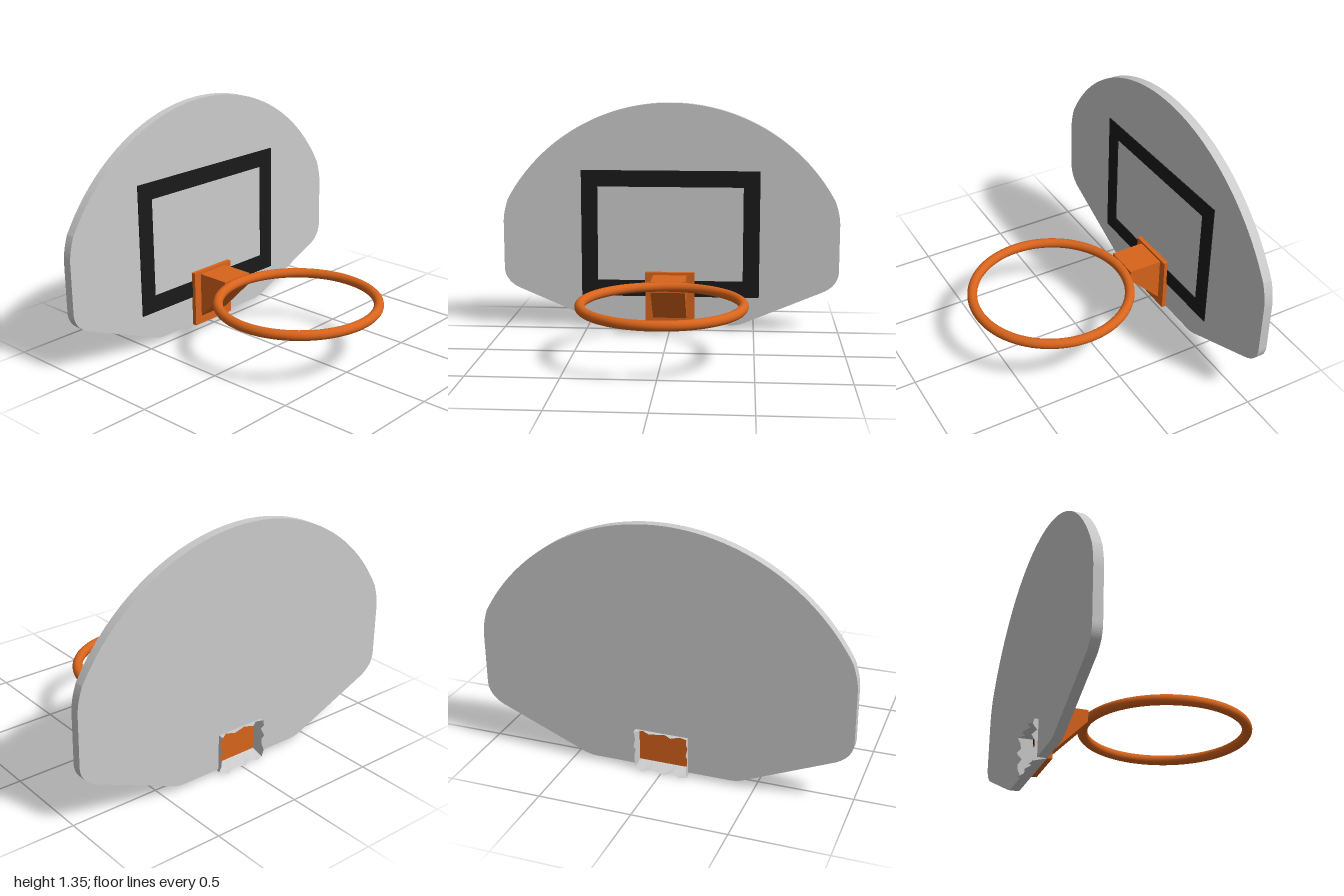
import * as THREE from 'three';
import { toCreasedNormals } from 'three/addons/utils/BufferGeometryUtils.js';

const material = (color, extra = {}) => new THREE.MeshStandardMaterial({ color, ...extra });

// Outline traced on the right half, then mirrored to the left
function boardShape(notchX, notchTop) {
  const base = 0.033;
  const half = new THREE.Path();
  half.moveTo(notchX, notchTop);
  half.lineTo(notchX, base);
  half.lineTo(0.37, base);
  half.quadraticCurveTo(0.415, base, 0.46, 0.055);
  half.lineTo(0.9, 0.241);
  half.bezierCurveTo(0.96, 0.265, 1, 0.31, 1, 0.37);
  half.lineTo(1, 0.64);
  half.quadraticCurveTo(1, 0.71, 0.97, 0.79);
  const start = Math.atan2(0.54, 0.97);
  half.absarc(0, 0.25, 1.11, start, Math.PI / 2, false);
  const right = half.getPoints(28);
  const left = right.slice(0, -1).reverse().map(p => new THREE.Vector2(-p.x, p.y));
  return new THREE.Shape([...right, ...left]);
}

function extrude(shape, depth) {
  const geometry = new THREE.ExtrudeGeometry(shape, { depth, bevelEnabled: false });
  return toCreasedNormals(geometry, 0.4);
}

function rectangle(PathType, x, y0, y1) {
  return new PathType([[-x, y0], [x, y0], [x, y1], [-x, y1]].map(p => new THREE.Vector2(...p)));
}

// Torn lining: a strip around the notch whose rear edge is uneven
function tornLining(x, y0, y1) {
  const corners = [[-x, y0], [x, y0], [x, y1], [-x, y1]];
  const steps = 7, front = [], rear = [];
  for (let side = 0; side < 4; side++) {
    const a = corners[side], b = corners[(side + 1) % 4];
    for (let i = 0; i < steps; i++) {
      const t = i / steps, k = side * steps + i;
      const px = a[0] + (b[0] - a[0]) * t, py = a[1] + (b[1] - a[1]) * t;
      const jag = 0.5 + 0.5 * Math.sin(k * 2.4);
      const drop = side === 0 || k === steps ? 0.014 + 0.012 * jag : 0;
      front.push(new THREE.Vector3(px, py, -0.527));
      rear.push(new THREE.Vector3(px, py - drop, -0.583 - 0.03 * jag));
    }
  }
  const points = [];
  front.forEach((p, i) => {
    const j = (i + 1) % front.length;
    points.push(p, rear[i], rear[j], p, rear[j], front[j]);
  });
  const geometry = new THREE.BufferGeometry().setFromPoints(points);
  geometry.computeVertexNormals();
  return geometry;
}

export function createModel() {
  const group = new THREE.Group();
  const grey = material(0xcccccc);
  const black = material(0x1a1a1a);
  const orange = material(0xd8641c);

  function add(name, geometry, mat, x = 0, y = 0, z = 0) {
    const mesh = new THREE.Mesh(geometry, mat);
    mesh.name = name;
    mesh.position.set(x, y, z);
    group.add(mesh);
    return mesh;
  }

  // Backboard with a notch behind the mounting plate
  add('backboard', extrude(boardShape(0.145, 0.235), 0.051), grey, 0, 0, -0.578);
  add('tornLining', tornLining(0.144, 0.032, 0.235),
    material(0xcccccc, { side: THREE.DoubleSide, flatShading: true }));

  // Painted target frame, slightly proud of the board
  const frame = rectangle(THREE.Shape, 0.53, 0.205, 0.963);
  frame.holes.push(rectangle(THREE.Path, 0.433, 0.302, 0.866));
  add('targetFrame', extrude(frame, 0.006), black, 0, 0, -0.528);

  // Mounting plate
  add('mountingPlate', new THREE.BoxGeometry(0.294, 0.323, 0.026), orange, 0, 0.1935, -0.514);

  // Wedge bracket: side profile (forward, up) extruded across the width
  const profile = new THREE.Shape([
    [-0.51, 0.07], [-0.305, 0.277], [-0.305, 0.34], [-0.51, 0.34],
  ].map(p => new THREE.Vector2(-p[0], p[1])));
  const wedge = new THREE.ExtrudeGeometry(profile, { depth: 0.2, bevelEnabled: false });
  add('bracket', wedge, orange, -0.1).rotation.y = Math.PI / 2;

  // Hoop
  const hoop = new THREE.TorusGeometry(0.44, 0.0275, 20, 96);
  add('hoop', hoop, orange, 0, 0.3175, 0.155).rotation.x = Math.PI / 2;

  return group;
}
